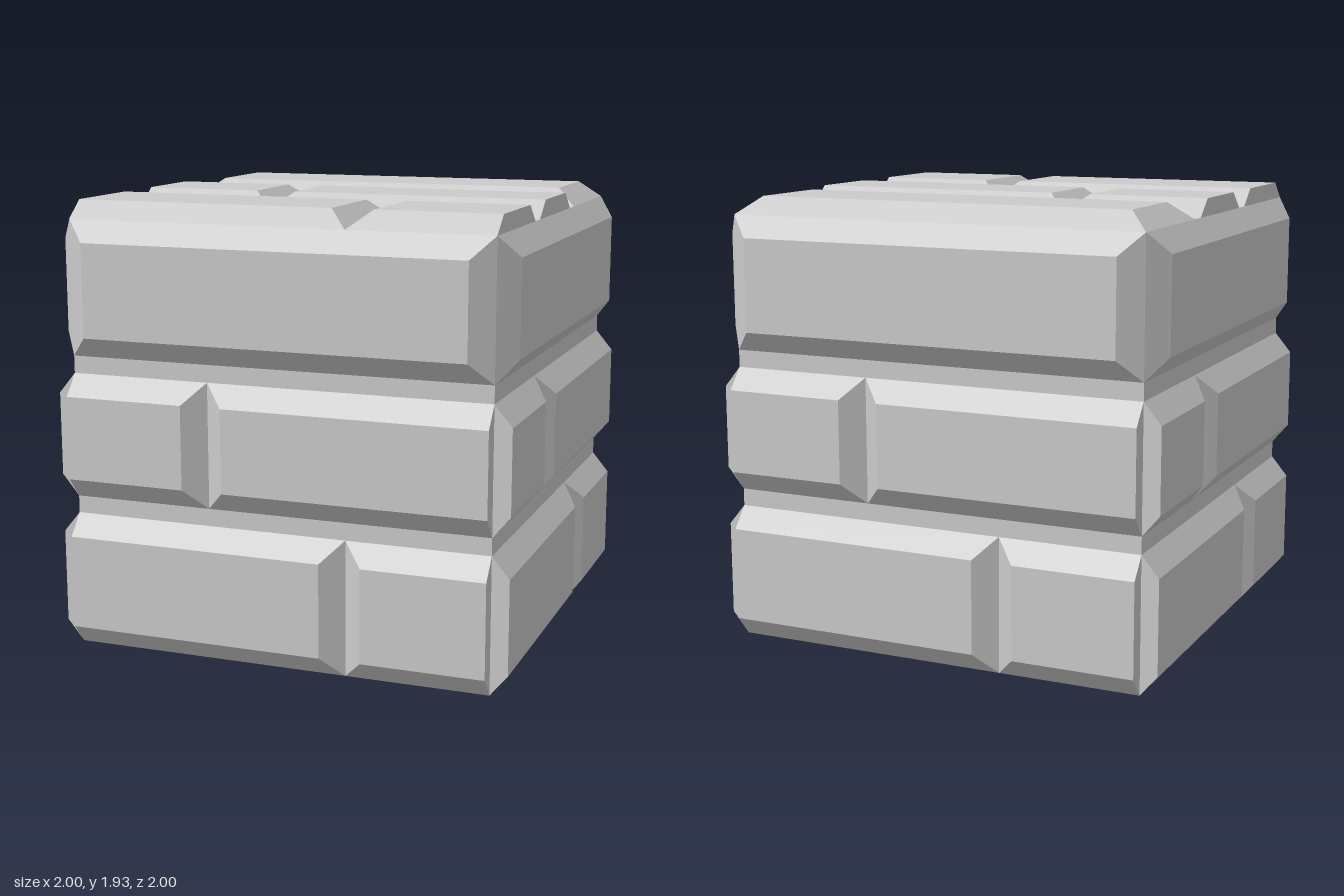
import * as THREE from 'three';

const BASE = 0.925;    // depth of the grooves
const FACE = 1.0;      // depth of the brick faces
const BEVEL = 0.09;    // width of a bevel
const TOP = 1.855;     // height of one panel
// Courses of a panel: lower edge, upper edge, position of the V-shaped joint
const COURSES = [
  { v0: 0, v1: 0.585, joint: 0.305 },
  { v0: 0.66, v1: 1.2, joint: -0.305 },
  { v0: 1.275, v1: TOP, joint: null },
];

const material = new THREE.MeshStandardMaterial({
  color: 0xcccccc, flatShading: true, side: THREE.DoubleSide,
});

// Mesh from convex polygons, corners counter-clockwise from outside
function polygonMesh(name, polygons) {
  const positions = [];
  for (const p of polygons) {
    for (let i = 1; i < p.length - 1; i++) positions.push(...p[0], ...p[i], ...p[i + 1]);
  }
  const geometry = new THREE.BufferGeometry();
  geometry.setAttribute('position', new THREE.Float32BufferAttribute(positions, 3));
  geometry.computeVertexNormals();
  const mesh = new THREE.Mesh(geometry, material);
  mesh.name = name;
  return mesh;
}

function rectangle(u0, u1, v0, v1, w) {
  return [[u0, v0, w], [u1, v0, w], [u1, v1, w], [u0, v1, w]];
}

// Open-backed brick; an end inset of 0 is a straight end, closed only on request
function brick(u0, u1, v0, v1, inset0, inset1, closeEnds) {
  const outer = rectangle(u0, u1, v0, v1, BASE);
  const face = rectangle(u0 + inset0, u1 - inset1, v0 + BEVEL, v1 - BEVEL, FACE);
  const polygons = [face];
  for (let i = 0; i < 4; i++) {
    const j = (i + 1) % 4;
    const open = !closeEnds && ((i === 1 && !inset1) || (i === 3 && !inset0));
    if (!open) polygons.push([outer[i], outer[j], face[j], face[i]]);
  }
  return polygonMesh('brick', polygons);
}

// Narrow six-sided chamfer joining straight brick ends around a corner
function cornerChamfer(v0, v1) {
  const lo = v0 + BEVEL, hi = v1 - BEVEL;
  return polygonMesh('cornerChamfer', [[
    [BASE, v0, BASE], [FACE, lo, BASE], [FACE, hi, BASE],
    [BASE, v1, BASE], [BASE, hi, FACE], [BASE, lo, FACE],
  ]]);
}

// One panel of three courses with the grooves between them
function panel(name, isTop) {
  const group = new THREE.Group();
  group.name = name;
  COURSES.forEach(({ v0, v1, joint }, i) => {
    if (joint === null) {
      group.add(brick(-BASE, BASE, v0, v1, BEVEL, BEVEL, isTop));
    } else {
      group.add(brick(-BASE, joint, v0, v1, 0, BEVEL, isTop));
      group.add(brick(joint, BASE, v0, v1, BEVEL, 0, isTop));
      if (!isTop) group.add(cornerChamfer(v0, v1));
    }
    if (i > 0) {
      group.add(polygonMesh('groove', [rectangle(-BASE, BASE, COURSES[i - 1].v1, v0, BASE)]));
    }
  });
  return group;
}

export function createModel() {
  const model = new THREE.Group();
  model.name = 'brickBlock';

  // Four walls, each a quarter turn from the last; the underside stays open
  ['frontWall', 'leftWall', 'backWall', 'rightWall'].forEach((name, k) => {
    const wall = panel(name, false);
    wall.rotation.y = k * Math.PI / 2;
    model.add(wall);
  });

  // The same panel laid flat as the top
  const top = panel('topPanel', true);
  top.rotation.x = -Math.PI / 2;
  top.position.set(0, TOP - BASE, TOP / 2);
  model.add(top);

  return model;
}
